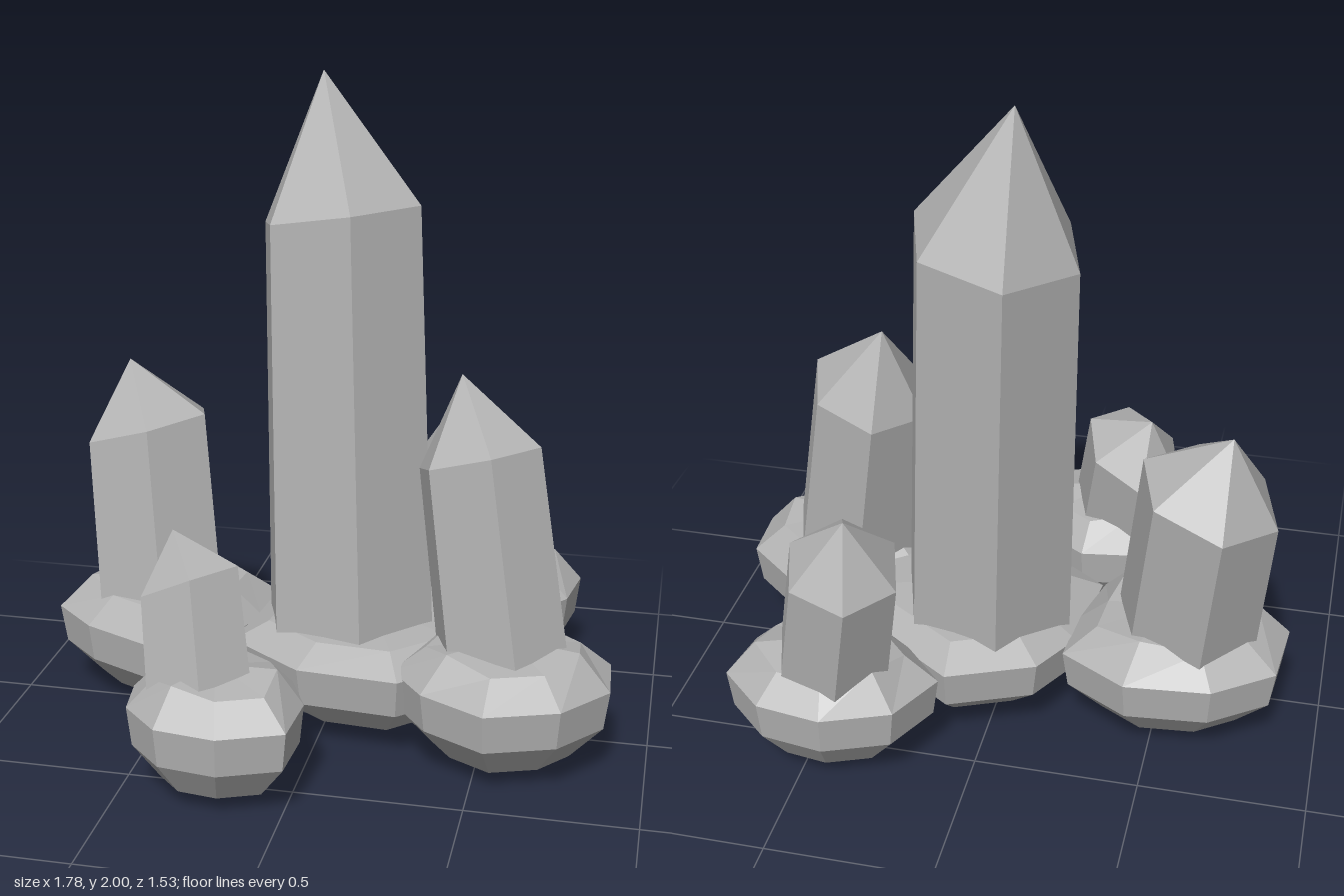
import * as THREE from 'three';

const stone = new THREE.MeshStandardMaterial({ color: 0xb2b2b2 });
stone.name = 'grey stone';

const V = (x, y, z) => new THREE.Vector3(x, y, z);

// Faceted skin through closed rings (bottom to top), with a pole point at both ends
function loft(name, bottom, rings, top) {
  const n = rings[0].length;
  const pos = [];
  const tri = (...pts) => pts.forEach((p) => pos.push(p.x, p.y, p.z));
  for (let i = 0; i < n; i++) {
    const j = (i + 1) % n;
    tri(bottom, rings[0][i], rings[0][j]);
    for (let k = 0; k + 1 < rings.length; k++) {
      const a = rings[k], b = rings[k + 1];
      tri(a[i], b[i], a[j]);
      tri(a[j], b[i], b[j]);
    }
    const last = rings[rings.length - 1];
    tri(last[i], top, last[j]);
  }
  const geo = new THREE.BufferGeometry();
  geo.setAttribute('position', new THREE.Float32BufferAttribute(pos, 3));
  geo.computeVertexNormals();
  const mesh = new THREE.Mesh(geo, stone);
  mesh.name = name;
  return mesh;
}

// Hexagon around centre c, tilted square to the axis direction
function hexagon(c, r, axis) {
  return Array.from({ length: 6 }, (_, i) => {
    const a = (73 + i * 60) * Math.PI / 180;
    const dx = r * Math.cos(a), dz = r * Math.sin(a);
    return V(c.x + dx, c.y - (dx * axis.x + dz * axis.z) / axis.y, c.z + dz);
  });
}

// Leaning six-sided prism with a pointed tip, its foot sunk into the rock
function crystal({ foot, shoulder, tip, r }) {
  const f = V(...foot), s = V(...shoulder), t = V(...tip);
  const root = f.clone().lerp(s, -0.15 / (s.y - f.y));
  const axis = t.clone().sub(s);
  return loft('crystal', root.clone().setY(root.y - 0.02),
    [hexagon(root, r[0], axis), hexagon(s, r[1], axis)], t);
}

// Flattened nine-sided boulder: each ring is [scale of outline, height]
function boulder({ outline, flat }) {
  const pts = [];
  for (let i = 0; i < outline.length; i += 2) pts.push(V(outline[i], 0, outline[i + 1]));
  const c = pts.reduce((s, p) => s.add(p), V(0, 0, 0)).divideScalar(pts.length);
  const levels = flat
    ? [[0.65, 0.055], [0.95, 0.16], [1, 0.28], [0.74, 0.335]]
    : [[0.64, 0.055], [0.95, 0.165], [1, 0.285], [0.7, 0.375]];
  const rings = levels.map(([s, y], k) => pts.map((p, i) => {
    const bump = k === 3 && !flat ? 0.018 * Math.cos(i * 2.1) : 0; // uneven rim
    return V(c.x + (p.x - c.x) * s, y + bump, c.z + (p.z - c.z) * s);
  }));
  return loft('boulder', V(c.x, flat ? 0.04 : 0, c.z), rings, V(c.x, flat ? 0.36 : 0.4, c.z));
}

// foot, shoulder and tip: axis points; r: radii; outline: x, z pairs of the rock
const clusters = {
  centreCluster: {
    foot: [0.05, 0.35, -0.09], shoulder: [0.005, 1.58, -0.17], tip: [-0.06, 2, -0.22], r: [0.28, 0.257],
    outline: [0.55, -0.15, 0.48, 0.1, 0.27, 0.3, -0.04, 0.275, -0.28, 0.105, -0.25, -0.2, -0.16, -0.36, 0.1, -0.47, 0.42, -0.25],
    flat: true,
  },
  rightCluster: {
    foot: [-0.58, 0.34, -0.12], shoulder: [-0.635, 0.86, -0.2], tip: [-0.695, 1.07, -0.23], r: [0.22, 0.21],
    outline: [-0.89, -0.02, -0.87, -0.25, -0.69, -0.38, -0.43, -0.405, -0.225, -0.285, -0.24, -0.09, -0.29, 0.105, -0.51, 0.22, -0.75, 0.11],
  },
  leftCluster: {
    foot: [0.555, 0.35, 0.135], shoulder: [0.47, 0.925, 0.083], tip: [0.407, 1.16, 0.026], r: [0.203, 0.188],
    outline: [0.89, 0.24, 0.76, 0.4, 0.545, 0.475, 0.35, 0.37, 0.24, 0.225, 0.3, 0.02, 0.5, -0.1, 0.71, -0.095, 0.88, 0.05],
  },
  frontCluster: {
    foot: [-0.285, 0.35, 0.49], shoulder: [-0.32, 0.605, 0.428], tip: [-0.38, 0.745, 0.38], r: [0.172, 0.16],
    outline: [0.035, 0.5, 0.025, 0.685, -0.16, 0.76, -0.345, 0.735, -0.46, 0.62, -0.48, 0.48, -0.38, 0.29, -0.18, 0.26, -0.03, 0.36],
  },
  backCluster: {
    foot: [0.42, 0.35, -0.535], shoulder: [0.355, 0.725, -0.6], tip: [0.33, 0.91, -0.65], r: [0.182, 0.173],
    outline: [0.74, -0.6, 0.71, -0.415, 0.6, -0.265, 0.43, -0.25, 0.24, -0.36, 0.11, -0.5, 0.2, -0.68, 0.4, -0.76, 0.6, -0.73],
  },
};

export function createModel() {
  const model = new THREE.Group();
  model.name = 'crystalFormation';
  for (const [name, spec] of Object.entries(clusters)) {
    const group = new THREE.Group();
    group.name = name;
    group.add(crystal(spec), boulder(spec));
    model.add(group);
  }
  return model;
}
